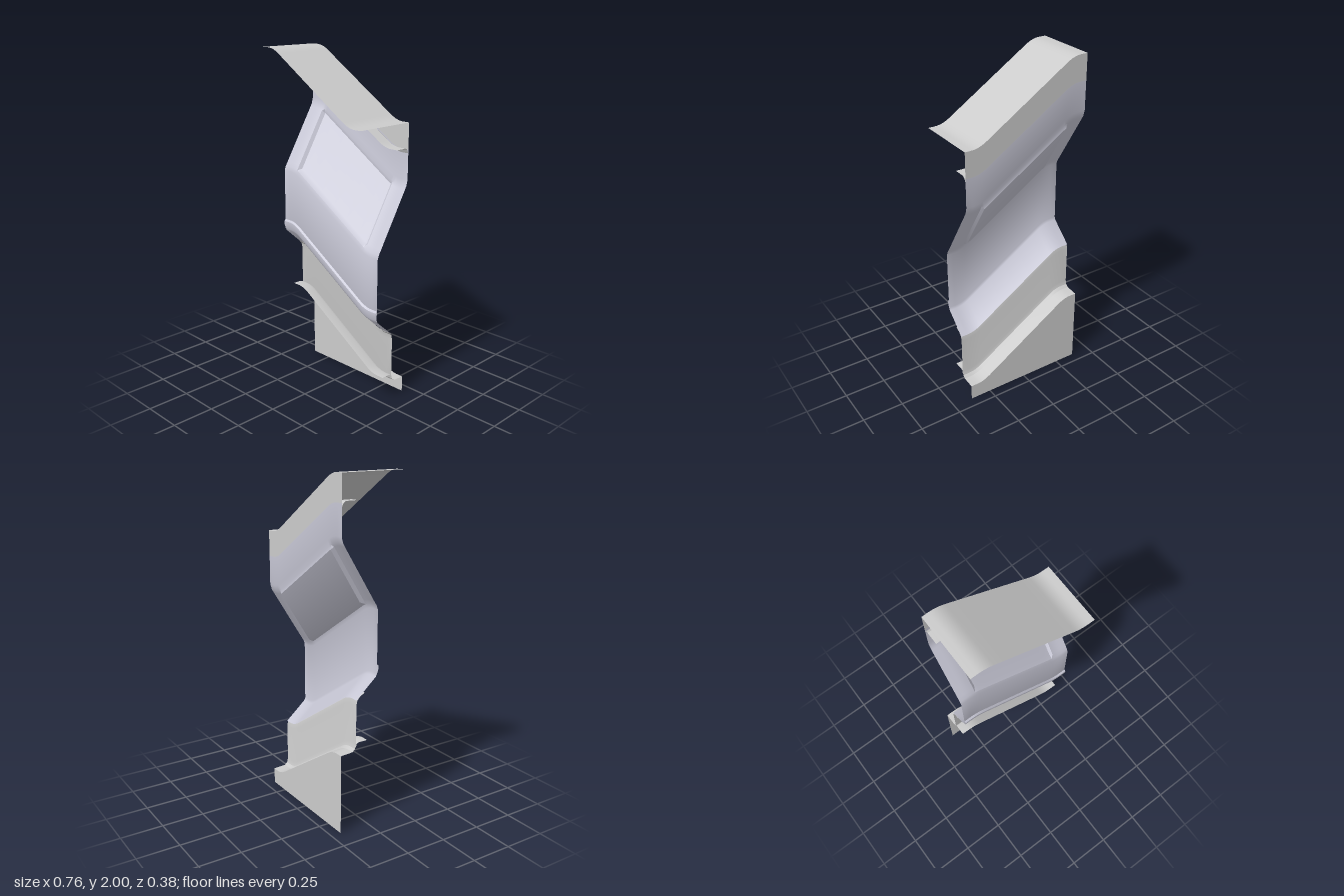
import * as THREE from 'three';
import { toCreasedNormals } from 'three/addons/utils/BufferGeometryUtils.js';

const GREY = 0xcccccc, BLUE_GREY = 0xc8c8d6;

// Height drop across the width: level ends joined by a rounded slope.
function drop(x) {
  const u = Math.min(Math.abs(x), 0.34), r = Math.max(u - 0.25, 0);
  return -0.19 - Math.sign(x) * 0.644 * (u - r * r / 0.18);
}

// Column positions, finer around the bends and the inset bevels.
const columns = [0];
for (const u of [0.1, 0.2, 0.25, 0.265, 0.28, 0.295, 0.31, 0.325, 0.34, 0.38]) columns.push(u, -u);
columns.sort((a, b) => a - b);

// Sweep a profile of [z, y, follow, inset] across the width.
// follow = 0 keeps the row level; inset pushes the middle columns back.
function sheet(name, color, profile) {
  const pos = [], index = [], n = columns.length;
  profile.forEach(([z, y, follow = 1, inset = 0], j) => {
    columns.forEach((x, i) => {
      const d = Math.abs(x) < 0.27 ? inset : 0;
      pos.push(x, y + follow * drop(x) - d * 0.53, z - d * 0.85);
      if (i && j) {
        const a = (j - 1) * n + i - 1, b = j * n + i - 1;
        index.push(a, b, a + 1, b, b + 1, a + 1);
      }
    });
  });
  const geo = new THREE.BufferGeometry();
  geo.setAttribute('position', new THREE.Float32BufferAttribute(pos, 3));
  geo.setIndex(index);
  const mesh = new THREE.Mesh(
    toCreasedNormals(geo, 0.5),
    new THREE.MeshStandardMaterial({ color, side: THREE.DoubleSide })
  );
  mesh.name = name;
  return mesh;
}

export function createModel() {
  const group = new THREE.Group();
  group.name = 'slopedWallPanel';
  group.add(
    // Overhanging cover and the wall strip below it
    sheet('ceiling', GREY, [[0.19, 2], [-0.19, 2]]),
    sheet('upperWall', GREY, [[-0.19, 2], [-0.19, 1.85]]),
    sheet('upperLedge', GREY, [[-0.19, 1.83], [-0.18, 1.85], [-0.165, 1.86], [-0.095, 1.86]]),

    // Leaning panel with the inset field, knee and soffit
    sheet('leaningPanel', BLUE_GREY, [
      [-0.19, 1.85], [-0.19, 1.68], [-0.18, 1.645],
      [-0.17, 1.628, 1, 0.015], [0.02, 1.32, 1, 0.015],
      [0.036, 1.295], [0.045, 1.27],
      [0.045, 0.91], [0.038, 0.893], [-0.09, 0.78]
    ]),
    sheet('kneeTrim', BLUE_GREY, [[0.045, 0.965], [0.055, 0.955], [0.055, 0.935], [0.045, 0.905]]),

    // Lower walls with their ledges
    sheet('middleWall', GREY, [
      [-0.035, 0.815], [-0.065, 0.8], [-0.083, 0.78], [-0.09, 0.75],
      [-0.09, 0.52], [-0.097, 0.495], [-0.113, 0.48], [-0.19, 0.475]
    ]),
    sheet('lowerLedge', GREY, [[-0.015, 0.53], [-0.07, 0.53], [-0.085, 0.525], [-0.09, 0.505]]),
    sheet('lowerWall', GREY, [[-0.19, 0.475], [-0.19, 0, 0]])
  );
  return group;
}
